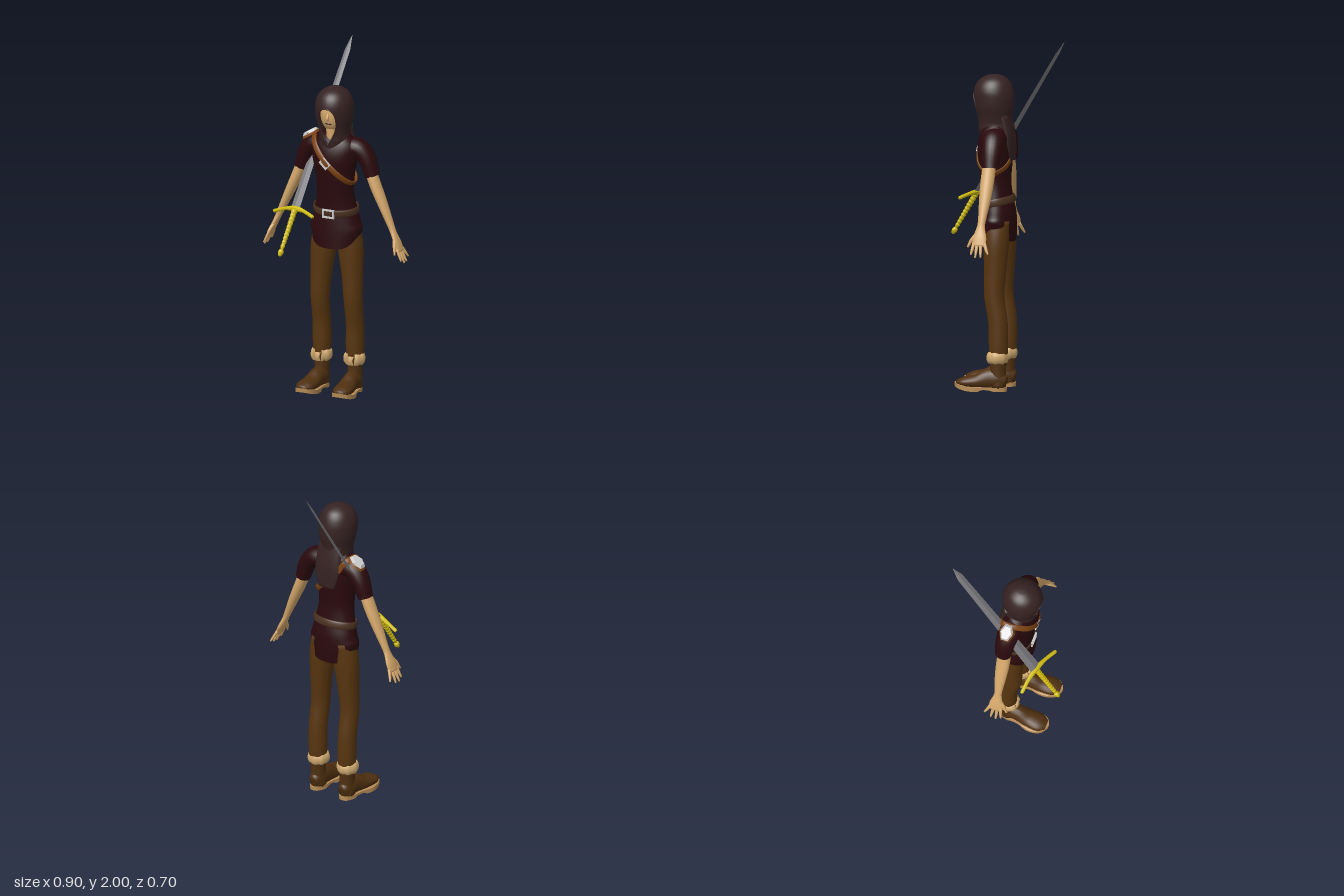
import * as THREE from 'three';

const V = (x, y, z) => new THREE.Vector3(x, y, z);
const mat = (color, flat = false) =>
  new THREE.MeshStandardMaterial({ color, side: THREE.DoubleSide, flatShading: flat });
const M = {
  tunic: mat(0x2a090d), hood: mat(0x362222), trousers: mat(0x57350f), boot: mat(0x4f3010),
  skin: mat(0xd3a66a), fur: mat(0xcfa970), sole: mat(0xb58a55), strap: mat(0x7a4312),
  belt: mat(0x4a3020), gold: mat(0xd0bc10, true), steel: mat(0x7c7c80, true),
  plate: mat(0xcccccc, true), dark: mat(0x2a1512),
};

// Smoothly resample stations [x, y, z, sideRadius, refRadius]
function resample(st, steps) {
  const pos = new THREE.CatmullRomCurve3(st.map(s => V(s[0], s[1], s[2])), false, 'catmullrom');
  const rad = new THREE.CatmullRomCurve3(st.map(s => V(s[3], s[4], 0)), false, 'catmullrom');
  const n = (st.length - 1) * steps;
  return Array.from({ length: n + 1 }, (_, i) => ({ c: pos.getPoint(i / n), r: rad.getPoint(i / n) }));
}

// Skin a surface over rows of points
function surface(rows, closed) {
  const w = rows[0].length, idx = [], cols = closed ? w : w - 1;
  for (let j = 0; j < rows.length - 1; j++)
    for (let i = 0; i < cols; i++) {
      const a = j * w + i, b = j * w + (i + 1) % w;
      idx.push(a, b, a + w, b, b + w, a + w);
    }
  const g = new THREE.BufferGeometry().setFromPoints(rows.flat());
  g.setIndex(idx);
  g.computeVertexNormals();
  return g;
}

// Elliptical limb along stations; ref sets the direction of the second radius
function limb(st, { ref = V(0, 0, 1), center = null, n = 20, steps = 5, cap = true } = {}) {
  const s = resample(st, steps), last = s.length - 1;
  const rows = s.map(({ c, r }, i) => {
    const d = s[Math.min(i + 1, last)].c.clone().sub(s[Math.max(i - 1, 0)].c).normalize();
    const b = center ? c.clone().sub(center) : ref.clone();
    b.addScaledVector(d, -b.dot(d)).normalize();
    const a = d.clone().cross(b);
    return Array.from({ length: n }, (_, k) => {
      const t = k / n * Math.PI * 2;
      return c.clone().addScaledVector(a, Math.sin(t) * r.x).addScaledVector(b, Math.cos(t) * r.y);
    });
  });
  if (cap) {
    rows.unshift(rows[0].map(() => s[0].c.clone()));
    rows.push(rows[0].map(() => s[last].c.clone()));
  }
  return surface(rows, true);
}

// Move every vertex by a rule
function warp(g, rule) {
  const p = g.attributes.position, v = V(0, 0, 0);
  for (let i = 0; i < p.count; i++) {
    rule(v.fromBufferAttribute(p, i));
    p.setXYZ(i, v.x, v.y, v.z);
  }
  g.computeVertexNormals();
  return g;
}

// Rectangular buckle frame
function buckle(w, h, rim) {
  const rect = (o, a, b) => o.moveTo(-a, -b).lineTo(a, -b).lineTo(a, b).lineTo(-a, b).closePath();
  const shape = rect(new THREE.Shape(), w / 2, h / 2);
  shape.holes.push(rect(new THREE.Path(), w / 2 - rim, h / 2 - rim));
  return new THREE.ExtrudeGeometry(shape, { depth: 0.01, bevelEnabled: false });
}

export function createModel() {
  const root = new THREE.Group();
  const add = (name, geo, material, parent = root) => {
    const m = new THREE.Mesh(geo, material);
    m.name = name;
    parent.add(m);
    return m;
  };

  // Tunic, hem cut higher at the sides
  const tunic = limb([
    [0, 0.86, 0.02, 0.148, 0.098], [0, 0.95, 0.018, 0.158, 0.098], [0, 1.02, 0.018, 0.145, 0.095],
    [0, 1.1, 0.025, 0.125, 0.085], [0, 1.2, 0.035, 0.11, 0.085], [0, 1.3, 0.038, 0.118, 0.095],
    [0, 1.4, 0.04, 0.138, 0.1], [0, 1.47, 0.035, 0.14, 0.09], [0, 1.52, 0.03, 0.1, 0.07],
    [0, 1.55, 0.03, 0.06, 0.05]], { n: 40, cap: false });
  add('tunic', warp(tunic, v => {
    const k = Math.max(0, (1.0 - v.y) / 0.14);
    v.y += 0.08 * k * Math.pow(Math.min(1, Math.abs(v.x) / 0.148), 4);
  }), M.tunic);

  // Hood with a pointed face opening
  const gap = y => {
    const t = (y - 1.48) / 0.23;
    return t > 0 && t < 1 ? 0.145 * t * Math.sqrt(1 - t) : 0;
  };
  const rim = [[], []];
  const hoodRows = resample([
    [0, 1.44, 0.035, 0.075, 0.09], [0, 1.5, 0.035, 0.09, 0.1], [0, 1.54, 0.04, 0.089, 0.096],
    [0, 1.58, 0.042, 0.095, 0.1], [0, 1.63, 0.045, 0.106, 0.112], [0, 1.68, 0.047, 0.11, 0.117],
    [0, 1.72, 0.049, 0.108, 0.114], [0, 1.76, 0.049, 0.094, 0.1], [0, 1.79, 0.047, 0.07, 0.075],
    [0, 1.81, 0.045, 0.034, 0.036], [0, 1.815, 0.045, 0, 0]], 8).map(({ c, r }) => {
    const g = gap(c.y), t0 = g > 0 ? Math.asin(g / r.x) : 0;
    const row = Array.from({ length: 49 }, (_, k) => {
      const t = t0 + k / 48 * (Math.PI * 2 - 2 * t0);
      return V(r.x * Math.sin(t), c.y, c.z + r.y * Math.cos(t));
    });
    if (g > 0) { rim[0].push(row[0]); rim[1].unshift(row[48]); }
    return row;
  });
  add('hood', surface(hoodRows, false), M.hood);
  const rimCurve = new THREE.CatmullRomCurve3([...rim[0], ...rim[1]], true);
  add('hoodRim', new THREE.TubeGeometry(rimCurve, 80, 0.005, 8, true), M.hood);
  add('hoodTail', limb([[0, 1.58, -0.02, 0.08, 0.03], [0, 1.48, -0.045, 0.085, 0.025],
    [0, 1.4, -0.058, 0.08, 0.018], [0, 1.325, -0.064, 0.055, 0.01]]), M.hood);

  // Head, neck and face
  const head = add('head', new THREE.SphereGeometry(1, 28, 20), M.skin);
  head.scale.set(0.078, 0.115, 0.085);
  head.position.set(0, 1.66, 0.052);
  add('neck', limb([[0, 1.46, 0.045, 0.05, 0.06], [0, 1.52, 0.05, 0.042, 0.058], [0, 1.6, 0.05, 0.045, 0.06]]), M.skin);
  add('nose', limb([[0, 1.675, 0.128, 0.005, 0.006], [0, 1.645, 0.14, 0.009, 0.011], [0, 1.633, 0.136, 0.007, 0.007]]), M.skin);
  const mouth = add('mouth', new THREE.SphereGeometry(1, 12, 8), M.dark);
  mouth.scale.set(0.023, 0.005, 0.006);
  mouth.position.set(0, 1.61, 0.125);

  for (const s of [1, -1]) {
    const side = s > 0 ? 'left' : 'right';
    const part = (name, st, m, opt) =>
      add(side + name, limb(st.map(([x, ...r]) => [x * s, ...r]), opt), m);

    // Sleeve, arm and hand
    part('Sleeve', [[0.06, 1.45, 0.02, 0.06, 0.07], [0.135, 1.455, 0.017, 0.058, 0.066],
      [0.19, 1.4, 0.013, 0.05, 0.058], [0.226, 1.3, 0.012, 0.043, 0.047]], M.tunic, { cap: false });
    part('Arm', [[0.2, 1.37, 0.018, 0.032, 0.036], [0.248, 1.25, 0.022, 0.032, 0.04],
      [0.298, 1.14, 0.025, 0.027, 0.035], [0.352, 1.02, 0.03, 0.019, 0.023],
      [0.37, 0.98, 0.032, 0.016, 0.025], [0.395, 0.925, 0.033, 0.014, 0.04],
      [0.414, 0.88, 0.033, 0.01, 0.039]], M.skin);
    [[0.064, 0.075, 0.437, 0.833], [0.044, 0.047, 0.445, 0.818],
      [0.023, 0.016, 0.443, 0.82], [0.002, -0.025, 0.434, 0.838]].forEach(([z0, z1, x, y], i) =>
      part('Finger' + (i + 1), [[0.406, 0.898, z0, 0.009, 0.01], [(0.41 + x) / 2, (0.89 + y) / 2, (z0 + z1) / 2, 0.008, 0.009],
        [x, y, z1, 0.005, 0.005]], M.skin, { n: 10, steps: 3 }));
    part('Thumb', [[0.38, 0.955, 0.045, 0.012, 0.012], [0.396, 0.915, 0.078, 0.01, 0.011],
      [0.408, 0.872, 0.1, 0.005, 0.006]], M.skin, { n: 10, steps: 3 });

    // Trouser leg
    part('TrouserLeg', [[0.075, 0.98, 0.01, 0.065, 0.075], [0.086, 0.85, 0.012, 0.074, 0.073],
      [0.098, 0.7, 0.016, 0.062, 0.065], [0.105, 0.55, 0.02, 0.054, 0.058], [0.106, 0.4, -0.002, 0.052, 0.056],
      [0.105, 0.28, -0.005, 0.053, 0.056], [0.105, 0.2, -0.005, 0.05, 0.053]], M.trousers, { n: 28 });

    // Fur cuff, open at the front, with a tie
    const cuff = Array.from({ length: 17 }, (_, i) => {
      const t = 0.45 + i / 16 * (Math.PI * 2 - 0.9), lump = 1 + 0.08 * Math.sin(i * 2.4);
      return [0.105 + 0.044 * Math.sin(t), 0.195, 0.002 + 0.046 * Math.cos(t), 0.019 * lump, 0.034 * lump];
    });
    part('FurCuff', cuff, M.fur, { ref: V(0, 1, 0), n: 14, steps: 3 });
    part('CuffTie', [[0.105, 0.215, 0.052, 0.02, 0.008], [0.105, 0.19, 0.058, 0.014, 0.008],
      [0.105, 0.165, 0.052, 0.018, 0.006]], M.fur);

    // Boot
    part('BootShaft', [[0.105, 0.21, -0.005, 0.045, 0.049], [0.105, 0.12, -0.002, 0.042, 0.047],
      [0.105, 0.02, 0, 0.044, 0.048]], M.boot);
    part('BootFoot', [[0.105, 0.05, -0.05, 0.028, 0.032], [0.105, 0.066, 0, 0.045, 0.06],
      [0.107, 0.066, 0.06, 0.046, 0.058], [0.112, 0.052, 0.125, 0.053, 0.042],
      [0.117, 0.048, 0.195, 0.054, 0.03], [0.118, 0.046, 0.236, 0.03, 0.014]], M.boot, { ref: V(0, 1, 0) });
    const outline = [[0.08, -0.045], [0.06, 0], [0.062, 0.07], [0.053, 0.15], [0.068, 0.22], [0.115, 0.25],
      [0.163, 0.22], [0.177, 0.15], [0.156, 0.07], [0.15, 0], [0.132, -0.045], [0.106, -0.055]];
    const curve = new THREE.CatmullRomCurve3(outline.map(([x, z]) => V(x * s, -z, 0)), true);
    const sole = new THREE.ExtrudeGeometry(new THREE.Shape(curve.getPoints(60).slice(0, -1)),
      { depth: 0.024, bevelEnabled: false });
    sole.rotateX(-Math.PI / 2);
    add(side + 'Sole', warp(sole, v => {
      v.y += 1.6 * Math.max(0, v.z - 0.12) ** 2 + (v.y < 0.01 && v.z > 0.02 && v.z < 0.09 ? 0.01 : 0);
    }), M.sole);
  }

  // Belt around the waist, higher at the back
  const belt = Array.from({ length: 25 }, (_, i) => {
    const t = i / 24 * Math.PI * 2;
    return [0.134 * Math.sin(t), 1.088 - 0.016 * Math.cos(t), 0.023 + 0.092 * Math.cos(t), 0.022, 0.006];
  });
  add('belt', limb(belt, { center: V(0, 1.085, 0.023), n: 12, steps: 3, cap: false }), M.belt);
  add('beltBuckle', buckle(0.075, 0.052, 0.01), M.plate).position.set(-0.005, 1.07, 0.114);

  // Shoulder strap with buckle and shoulder plate
  const strap = [[-0.135, 1.523, 0.015], [-0.12, 1.508, 0.065], [-0.09, 1.468, 0.115], [-0.03, 1.4, 0.143],
    [0.05, 1.32, 0.132], [0.1, 1.267, 0.088], [0.12, 1.25, 0.04], [0.111, 1.262, 0], [0.07, 1.3, -0.047],
    [0, 1.37, -0.066], [-0.08, 1.45, -0.05], [-0.12, 1.507, -0.035], [-0.135, 1.523, 0.015]]
    .map(p => [...p, 0.018, 0.006]);
  add('shoulderStrap', limb(strap, { center: V(0, 1.36, 0.035), n: 12, cap: false }), M.strap);
  const clasp = add('strapBuckle', buckle(0.06, 0.046, 0.009), M.plate);
  clasp.position.set(-0.015, 1.375, 0.138);
  clasp.rotation.z = -Math.PI / 4;
  const pad = new THREE.Group();
  pad.name = 'shoulderPad';
  pad.position.set(-0.166, 1.503, 0.012);
  pad.rotation.z = 0.55;
  root.add(pad);
  const plateGeo = (r, h) => new THREE.CylinderGeometry(r * 0.75, r, h, 6).rotateY(Math.PI / 6).rotateY(Math.PI / 2);
  add('padLeather', plateGeo(0.064, 0.02), M.strap, pad).scale.z = 0.75;
  const plate = add('padPlate', plateGeo(0.055, 0.016), M.plate, pad);
  plate.scale.z = 0.72;
  plate.position.y = 0.012;

  // Sword carried across the right shoulder
  const sword = new THREE.Group();
  sword.name = 'sword';
  const up = V(0.125, 1.15, -0.69).normalize(), across = V(0.29, 0.02, 0.1);
  across.addScaledVector(up, -across.dot(up)).normalize();
  sword.quaternion.setFromRotationMatrix(new THREE.Matrix4().makeBasis(across, up, across.clone().cross(up)));
  sword.position.set(-0.178, 1.1, 0.195);
  root.add(sword);
  add('blade', limb([[0, 0, 0, 0.034, 0.008], [0, 0.97, 0, 0.021, 0.006], [0, 1.058, 0, 0.001, 0.001]],
    { n: 4, steps: 1 }), M.steel, sword);
  add('crossGuard', limb([[-0.157, -0.035, 0, 0.009, 0.009], [-0.145, -0.03, 0, 0.011, 0.011],
    [-0.07, -0.007, 0, 0.011, 0.011], [0, 0, 0, 0.018, 0.016], [0.07, -0.007, 0, 0.011, 0.011],
    [0.145, -0.03, 0, 0.011, 0.011], [0.157, -0.035, 0, 0.009, 0.009]], { n: 8, steps: 2 }), M.gold, sword);
  const grip = [[0, -0.293], [0.009, -0.288], [0.017, -0.268], [0.015, -0.256], [0.008, -0.248]];
  for (let i = 0; i <= 20; i++) grip.push([0.01 + 0.005 * i / 20 + (i % 2) * 0.003, -0.24 + 0.0115 * i]);
  add('gripAndPommel', new THREE.LatheGeometry(grip.map(p => new THREE.Vector2(...p)), 10), M.gold, sword);

  return root;
}
